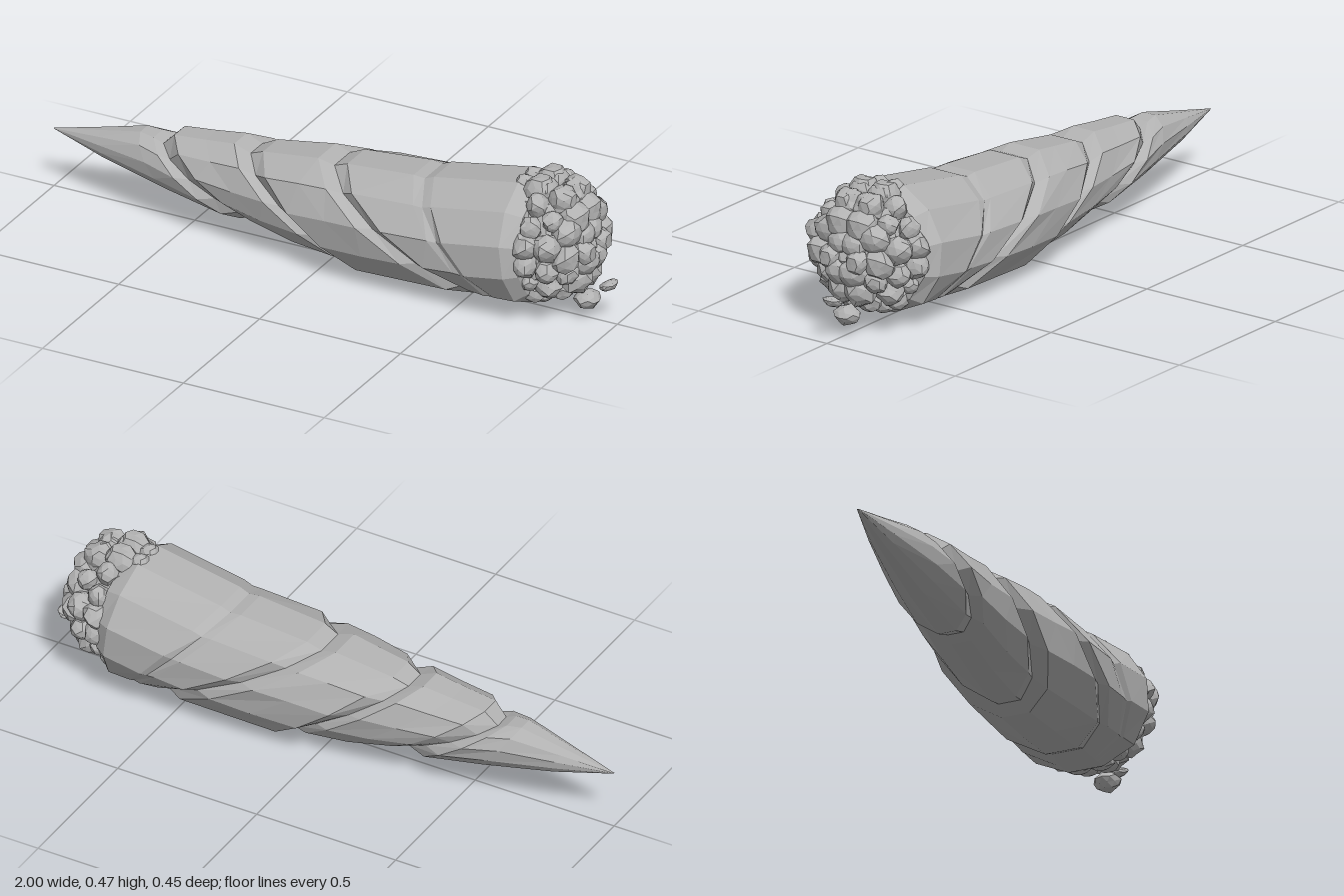
import * as THREE from 'three';

const stone = new THREE.MeshStandardMaterial({ color: 0xb2b2b2, flatShading: true });
stone.name = 'grey stone';

// repeatable noise in -1..1
function noise(a, b) {
  const s = Math.sin(a * 127.1 + b * 311.7) * 43758.5453;
  return (s - Math.floor(s)) * 2 - 1;
}

const SIDES = 12;

// slanted rings: [topX, topY, bottomX, bottomY, halfWidth]
const RINGS = [
  [-1.00, 0.210, -1.00, 0.208, 0.002],
  [-0.83, 0.250, -0.80, 0.155, 0.048],
  [-0.68, 0.285, -0.55, 0.105, 0.090],
  [-0.63, 0.280, -0.32, 0.072, 0.115],
  [-0.595, 0.265, -0.25, 0.095, 0.100], // first groove
  [-0.555, 0.310, -0.21, 0.080, 0.130],
  [-0.44, 0.322, -0.05, 0.042, 0.142],
  [-0.34, 0.336, 0.11, 0.022, 0.158],
  [-0.285, 0.315, 0.15, 0.035, 0.142], // second groove
  [-0.235, 0.338, 0.20, 0.006, 0.182],
  [-0.12, 0.357, 0.38, 0.014, 0.202],
  [-0.03, 0.365, 0.55, 0.028, 0.212],
  [0.02, 0.352, 0.60, 0.050, 0.192], // third groove
  [0.07, 0.372, 0.63, 0.042, 0.216],
  [0.31, 0.390, 0.66, 0.042, 0.222],
  [0.35, 0.385, 0.68, 0.044, 0.217], // shallow crease
  [0.38, 0.402, 0.69, 0.042, 0.225],
  [0.68, 0.455, 0.73, 0.042, 0.228],
  [0.74, 0.430, 0.76, 0.065, 0.195],
];

// twisted body lofted through the slanted rings, mirrored left to right
function hornGeometry() {
  const pos = [];
  const index = [];
  RINGS.forEach(([tx, ty, bx, by, w], i) => {
    for (let j = 0; j < SIDES; j++) {
      const a = (j + 0.5) / SIDES * Math.PI * 2;
      const r = 1.03 + 0.02 * noise(i, Math.min(j, SIDES - 1 - j));
      const c = Math.cos(a) * r;
      pos.push(
        (tx + bx) / 2 + (tx - bx) / 2 * c,
        (ty + by) / 2 + (ty - by) / 2 * c,
        Math.sin(a) * w * r,
      );
    }
  });
  for (let i = 0; i < RINGS.length - 1; i++) {
    for (let j = 0; j < SIDES; j++) {
      const k = (j + 1) % SIDES;
      const a = i * SIDES + j, b = i * SIDES + k;
      index.push(a, b, a + SIDES, b, b + SIDES, a + SIDES);
    }
  }
  // broken end
  const last = (RINGS.length - 1) * SIDES;
  const centre = pos.length / 3;
  pos.push(0.8, 0.25, 0);
  for (let j = 0; j < SIDES; j++) index.push(last + j, last + (j + 1) % SIDES, centre);
  const g = new THREE.BufferGeometry();
  g.setAttribute('position', new THREE.Float32BufferAttribute(pos, 3));
  g.setIndex(index);
  g.computeVertexNormals();
  return g;
}

// irregular rock: an icosahedron with each corner pushed in or out
function rock(name, x, y, z, sx, sy, sz, seed) {
  const g = new THREE.IcosahedronGeometry(1, 1);
  const p = g.attributes.position;
  const v = new THREE.Vector3();
  for (let i = 0; i < p.count; i++) {
    v.fromBufferAttribute(p, i);
    const key = Math.round(v.x * 50) + Math.round(v.y * 50) * 3 + Math.round(Math.abs(v.z) * 50) * 7;
    v.multiplyScalar(0.95 + 0.12 * noise(key, seed));
    p.setXYZ(i, v.x * sx, v.y * sy, v.z * sz);
  }
  g.computeVertexNormals();
  const m = new THREE.Mesh(g, stone);
  m.name = name;
  m.position.set(x, y, z);
  return m;
}

export function createModel() {
  const model = new THREE.Group();
  model.name = 'twisted horn';

  const horn = new THREE.Mesh(hornGeometry(), stone);
  horn.name = 'twistedBody';
  model.add(horn);

  // rubble packed over a rounded core
  const rubble = new THREE.Group();
  rubble.name = 'rubbleEnd';
  rubble.add(rock('rubbleCore', 0.74, 0.26, 0, 0.18, 0.19, 0.19, 3));
  const rows = [[0.3, 3, 0.048], [0.68, 5, 0.045], [1.08, 6, 0.042], [1.45, 8, 0.038]];
  rows.forEach(([theta, count, size], row) => {
    for (let i = 0; i < count; i++) {
      const a = (i + 0.5) / count * Math.PI + 0.06 * noise(i, row);
      const s = size * (1 + 0.2 * noise(i + 9, row));
      const x = 0.745 + 0.165 * Math.cos(theta) + 0.012 * noise(row, i);
      const y = 0.262 + 0.18 * Math.sin(theta) * Math.cos(a);
      const z = 0.175 * Math.sin(theta) * Math.sin(a);
      for (const side of [1, -1]) {
        rubble.add(rock('rubbleLump', x, y, side * z, s, s * 1.05, s * 1.1, i + row * 11));
      }
    }
  });
  // lumps along the upper rim
  for (const side of [1, -1]) {
    rubble.add(rock('crownLump', 0.75, 0.437, side * 0.04, 0.055, 0.05, 0.05, 5));
    rubble.add(rock('crownLump', 0.83, 0.425, side * 0.045, 0.05, 0.045, 0.045, 8));
    rubble.add(rock('crownLump', 0.69, 0.435, side * 0.03, 0.04, 0.035, 0.035, 6));
  }
  model.add(rubble);

  // loose fragments
  const lower = rock('looseRock', 0.893, 0.073, 0, 0.043, 0.036, 0.046, 21);
  const upper = rock('looseRock', 0.97, 0.137, 0, 0.03, 0.017, 0.036, 24);
  upper.rotation.z = 0.4;
  model.add(lower, upper);

  return model;
}
